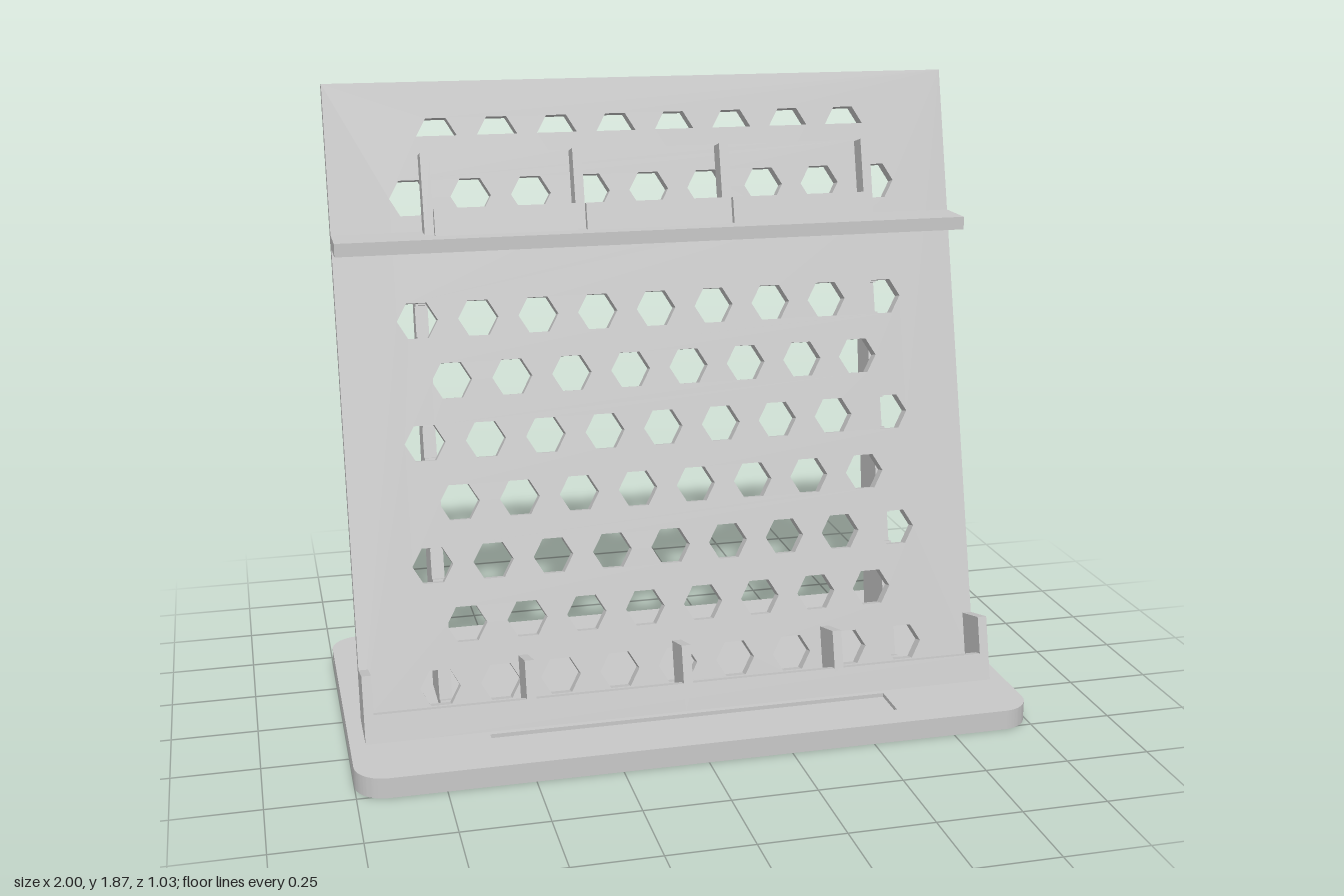
import * as THREE from 'three';
import { toCreasedNormals } from 'three/addons/utils/BufferGeometryUtils.js';

const TILT = Math.PI / 12;
const HOLE_R = 0.06;

export function createModel() {
  const model = new THREE.Group();
  model.name = 'perforatedStand';
  const grey = new THREE.MeshStandardMaterial({ color: 0xc8c8c8 });
  grey.name = 'plain grey';

  const add = (parent, name, geometry) => {
    const mesh = new THREE.Mesh(geometry, grey);
    mesh.name = name;
    parent.add(mesh);
  };
  // box given by its min and max corners
  const block = (parent, name, x0, x1, y0, y1, z0, z1) => {
    const g = new THREE.BoxGeometry(x1 - x0, y1 - y0, z1 - z0);
    g.translate((x0 + x1) / 2, (y0 + y1) / 2, (z0 + z1) / 2);
    add(parent, name, g);
  };
  const polygon = (Type, points) => new Type(points.map(([x, y]) => new THREE.Vector2(x, y)));

  // Base plate in layers: foot recesses below, solid core, shallow name-plate recess on top
  const roundedPlate = () => {
    const w = 1, d = 0.515, r = 0.09;
    const s = new THREE.Shape();
    s.absarc(w - r, d - r, r, 0, Math.PI / 2);
    s.absarc(-w + r, d - r, r, Math.PI / 2, Math.PI);
    s.absarc(-w + r, -d + r, r, Math.PI, Math.PI * 1.5);
    s.absarc(w - r, -d + r, r, Math.PI * 1.5, Math.PI * 2);
    s.closePath();
    return s;
  };
  const layer = (name, y0, y1, holes) => {
    const s = roundedPlate();
    s.holes.push(...holes);
    const g = new THREE.ExtrudeGeometry(s, { depth: y1 - y0, bevelEnabled: false, curveSegments: 12 });
    g.rotateX(-Math.PI / 2);
    g.translate(0, y0, 0);
    add(model, name, toCreasedNormals(g, 0.6));
  };
  const footHoles = [];
  for (const x of [-0.695, 0.695]) {
    for (const z of [-0.425, 0.425]) {
      footHoles.push(new THREE.Path().absarc(x, z, 0.06, 0, Math.PI * 2, true));
    }
  }
  const plateHole = polygon(THREE.Path, [[-0.6, -0.43], [-0.6, -0.31], [0.6, -0.31], [0.6, -0.43]]);
  layer('baseBottom', 0, 0.012, footHoles);
  layer('baseCore', 0.012, 0.048, []);
  layer('baseTop', 0.048, 0.06, [plateHole]);

  // Leaning assembly: local z = 0 is the front face of the back panel
  const lean = new THREE.Group();
  lean.name = 'leaningAssembly';
  lean.position.set(0, 0.06, 0.167);
  lean.rotation.x = -TILT;
  model.add(lean);

  // Back panel with staggered hexagonal holes; the row behind the shelf is left out
  const hexCorner = (x, y, i) => {
    const a = (i * Math.PI) / 3;
    return [x + HOLE_R * Math.cos(a), y + HOLE_R * Math.sin(a)];
  };
  const panelShape = polygon(THREE.Shape, [[-0.955, 0], [0.955, 0], [0.955, 1.87], [-0.955, 1.87]]);
  for (let row = 0; row < 10; row++) {
    if (row === 7) continue;
    const y = 0.09 + row * 0.18;
    const count = row % 2 === 0 ? 9 : 8;
    for (let i = 0; i < count; i++) {
      const x = (i - (count - 1) / 2) * 0.18;
      panelShape.holes.push(polygon(THREE.Path, [5, 4, 3, 2, 1, 0].map((k) => hexCorner(x, y, k))));
      // the top row is closed across its lower half on the front
      if (row === 9) {
        const half = polygon(THREE.Shape, [3, 4, 5, 6].map((k) => hexCorner(x, y, k)));
        add(lean, 'lowerHoleCover', new THREE.ShapeGeometry(half));
      }
    }
  }
  const panel = new THREE.ExtrudeGeometry(panelShape, { depth: 0.04, bevelEnabled: false });
  panel.translate(0, 0, -0.04);
  add(lean, 'backPanel', panel);

  // Rear support ribs, notched where the holes run past them
  const ribProfile = [[-0.04, 0], [-0.242, 0.02], [-0.115, 1.245], [-0.04, 1.245]];
  for (const y of [1.17, 0.81, 0.45, 0.09]) {
    ribProfile.push([-0.04, y + 0.046], [-0.064, y + 0.046], [-0.064, y - 0.046], [-0.04, y - 0.046]);
  }
  for (const x of [-0.7, 0.7]) {
    const g = new THREE.ExtrudeGeometry(polygon(THREE.Shape, ribProfile), { depth: 0.038, bevelEnabled: false });
    g.rotateY(-Math.PI / 2);
    g.translate(x + 0.019, 0, 0);
    add(lean, 'supportRib', g);
  }

  // Lower tray: front rail and five dividers
  block(lean, 'lowerRail', -0.955, 0.955, -0.04, 0.05, 0.09, 0.122);
  for (let i = -2; i <= 2; i++) {
    const x = i * 0.4705;
    block(lean, 'lowerDivider', x - 0.014, x + 0.014, -0.04, 0.163, 0, 0.122);
  }

  // Upper shelf is level; its dividers and rails lean with the panel
  block(model, 'upperShelf', -0.955, 0.955, 1.403, 1.442, -0.215, -0.065);
  for (let i = 0; i < 4; i++) {
    const x = -0.675 + i * 0.45;
    block(lean, 'upperDivider', x - 0.014, x + 0.014, 1.4, 1.654, 0, 0.06);
    if (i < 3) block(lean, 'upperRail', x + 0.014, x + 0.436, 1.395, 1.489, 0.057, 0.082);
  }
  return model;
}
